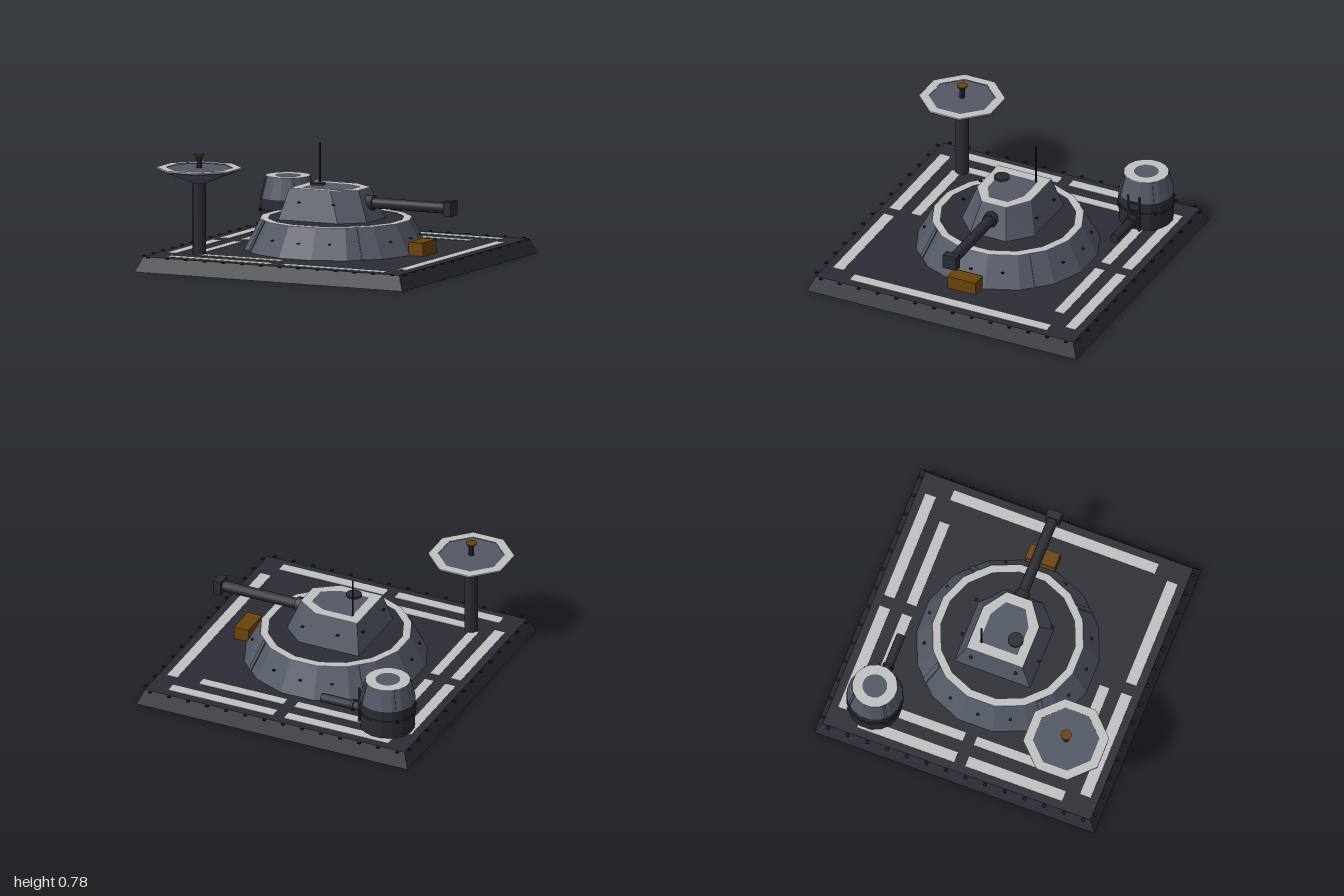
import * as THREE from 'three';

const mat = (name, hex) => {
  const m = new THREE.MeshStandardMaterial({ color: hex });
  m.name = name;
  return m;
};

export function createModel() {
  const deck = mat('dark deck', 0x2c2c35);
  deck.side = THREE.DoubleSide;
  const under = mat('underside', 0x29292b);
  const slate = mat('slate armour', 0x525865);
  const pale = mat('pale marking', 0xc0c0c0);
  const iron = mat('dark iron', 0x2a2c33);
  const amber = mat('amber', 0x6b4409);
  const black = mat('black fitting', 0x1b1b1f);
  const root = new THREE.Group();

  const flat = (g) => {
    const f = g.toNonIndexed();
    f.computeVertexNormals();
    return f;
  };
  const add = (name, geo, material, x = 0, y = 0, z = 0, parent = root) => {
    const m = new THREE.Mesh(geo, material);
    m.name = name;
    m.position.set(x, y, z);
    parent.add(m);
    return m;
  };
  const box = (name, m, w, h, d, x, y, z, p) => add(name, new THREE.BoxGeometry(w, h, d), m, x, y, z, p);
  // Faceted frustum from y0 to y1, with flat faces towards the axes
  const drum = (name, m, rTop, rBottom, y0, y1, n, x, z, p, open = false) => {
    const g = new THREE.CylinderGeometry(rTop, rBottom, y1 - y0, n, 1, open).rotateY(Math.PI / n);
    return add(name, flat(g), m, x, (y0 + y1) / 2, z, p);
  };
  // Cylinder lying along x
  const pipe = (name, m, r, x0, x1, y, z, n, p) =>
    add(name, new THREE.CylinderGeometry(r, r, x1 - x0, n).rotateZ(-Math.PI / 2), m, (x0 + x1) / 2, y, z, p);
  const ngon = (r, n) => Array.from({ length: n }, (_, i) => {
    const a = ((i + 0.5) / n) * Math.PI * 2;
    return [r * Math.cos(a), r * Math.sin(a)];
  });
  // Thin flat plate from an outline, with an optional hole
  const plate = (name, m, outer, inner, x, y, z, p) => {
    const v = (pts) => pts.map(([a, b]) => new THREE.Vector2(a, -b));
    const s = new THREE.Shape(v(outer));
    if (inner) s.holes.push(new THREE.Path(v(inner)));
    const g = new THREE.ExtrudeGeometry(s, { depth: 0.006, bevelEnabled: false });
    return add(name, g.rotateX(-Math.PI / 2), m, x, y, z, p);
  };
  // Straight loft between two convex outlines, closed at both ends
  const loft = (low, y0, high, y1) => {
    const pos = [], n = low.length;
    const P = (q, y) => [q[0], y, q[1]];
    for (let i = 0; i < n; i++) {
      const j = (i + 1) % n;
      const a = P(low[i], y0), b = P(low[j], y0), c = P(high[j], y1), d = P(high[i], y1);
      pos.push(...a, ...d, ...c, ...a, ...c, ...b);
      if (i > 0 && i < n - 1) {
        pos.push(...P(high[0], y1), ...c, ...d);
        pos.push(...P(low[0], y0), ...a, ...b);
      }
    }
    const g = new THREE.BufferGeometry();
    g.setAttribute('position', new THREE.Float32BufferAttribute(pos, 3));
    g.computeVertexNormals();
    return g;
  };

  // Base: sloped skirt open below, deck sheet, dark underside, edge studs
  drum('baseSkirt', deck, 0.955 * Math.SQRT2, Math.SQRT2, 0, 0.1, 4, 0, 0, root, true);
  add('deckSheet', new THREE.PlaneGeometry(1.91, 1.91).rotateX(-Math.PI / 2), deck, 0, 0.1, 0);
  add('deckUnderside', new THREE.PlaneGeometry(1.91, 1.91).rotateX(Math.PI / 2), under, 0, 0.098, 0);
  for (let i = 0; i < 14; i++) {
    const t = -0.91 + i * 0.14;
    for (const s of [-1, 1]) {
      box('edgeStud', black, 0.02, 0.008, 0.02, t, 0.1, s * 0.973);
      box('edgeStud', black, 0.02, 0.008, 0.02, s * 0.973, 0.1, t);
    }
  }

  // Painted deck stripes: x0, x1, z0, z1
  const stripe = (x0, x1, z0, z1) =>
    box('deckStripe', pale, x1 - x0, 0.003, z1 - z0, (x0 + x1) / 2, 0.102, (z0 + z1) / 2);
  for (const [a, b] of [[-0.81, -0.04], [0.04, 0.81]]) {
    stripe(a, b, -0.9, -0.825);
    stripe(a, b, 0.825, 0.9);
  }
  stripe(-0.66, -0.04, -0.74, -0.67);
  stripe(0.04, 0.66, -0.74, -0.67);
  stripe(-0.66, -0.04, 0.67, 0.74);
  stripe(0.825, 0.9, -0.73, 0.73);
  for (const [a, b] of [[-0.73, -0.04], [0.04, 0.73]]) stripe(-0.9, -0.825, a, b);
  for (const [a, b] of [[-0.66, -0.04], [0.04, 0.66]]) stripe(-0.74, -0.675, a, b);

  // Sloped mound with rim ring, ribs and studs
  drum('mound', slate, 0.51, 0.617, 0.1, 0.302, 16, 0, 0);
  plate('moundTop', deck, ngon(0.458, 16), null, 0, 0.298, 0);
  plate('moundRim', pale, ngon(0.51, 16), ngon(0.458, 16), 0, 0.299, 0);
  for (let i = 0; i < 16; i++) {
    const arm = new THREE.Group();
    arm.name = 'moundFitting';
    arm.rotation.y = (i * Math.PI) / 8;
    root.add(arm);
    if (i % 4 === 2) box('moundRib', slate, 0.014, 0.222, 0.036, 0.553, 0.201, 0, arm).rotation.z = 0.476;
    else box('moundStud', black, 0.018, 0.008, 0.018, 0.558, 0.2, 0, arm);
  }

  // Turret
  const plan = (back, shoulder, front, half, nose) => [
    [back, -half], [shoulder, -half], [front, -nose], [front, nose], [shoulder, half], [back, half],
  ];
  const turret = new THREE.Group();
  turret.name = 'turret';
  root.add(turret);
  const top = plan(-0.25, 0.06, 0.215, 0.2, 0.09);
  add('turretBody', loft(plan(-0.295, 0.15, 0.3, 0.27, 0.135), 0.3, top, 0.508), slate, 0, 0, 0, turret);
  plate('turretTopBorder', pale, top, plan(-0.18, 0.03, 0.145, 0.135, 0.07), 0, 0.506, 0, turret);
  drum('hatch', iron, 0.053, 0.053, 0.53, 0.545, 12, -0.09, 0.09, turret);
  drum('antenna', black, 0.006, 0.006, 0.508, 0.78, 6, -0.18, -0.12, turret);
  for (const s of [-1, 1]) {
    for (const x of [-0.14, 0.12]) box('turretStud', black, 0.02, 0.008, 0.02, x, 0.43, s * 0.272, turret);
    box('turretStud', black, 0.02, 0.008, 0.02, -0.275, 0.43, s * 0.16, turret);
  }

  // Main gun
  pipe('gunCollar', iron, 0.052, 0.22, 0.285, 0.42, 0, 8, turret);
  pipe('gunBarrel', iron, 0.037, 0.2, 0.84, 0.42, 0, 12, turret);
  box('gunMuzzle', iron, 0.055, 0.1, 0.1, 0.853, 0.42, 0, turret);

  // Supply crate
  box('crate', amber, 0.106, 0.09, 0.21, 0.648, 0.145, 0);

  // Dish on a mast
  const dish = new THREE.Group();
  dish.name = 'dishTower';
  dish.position.set(-0.678, 0, 0.675);
  root.add(dish);
  drum('mast', iron, 0.046, 0.046, 0.1, 0.59, 12, 0, 0, dish);
  drum('dishBowl', slate, 0.287, 0.05, 0.58, 0.672, 8, 0, 0, dish);
  plate('dishRim', pale, ngon(0.287, 8), ngon(0.222, 8), 0, 0.678, 0, dish);
  plate('dishPanel', slate, ngon(0.222, 8), null, 0, 0.675, 0, dish);
  drum('dishEdge', slate, 0.287, 0.287, 0.672, 0.678, 8, 0, 0, dish, true);
  drum('feedPost', iron, 0.019, 0.019, 0.68, 0.75, 10, 0, 0, dish);
  drum('feedHorn', iron, 0.035, 0.019, 0.745, 0.769, 12, 0, 0, dish);
  drum('feedCap', amber, 0.037, 0.037, 0.768, 0.774, 12, 0, 0, dish);

  // Round guard post
  const post = new THREE.Group();
  post.name = 'guardPost';
  post.position.set(-0.703, 0, -0.68);
  root.add(post);
  drum('postBase', iron, 0.188, 0.183, 0.1, 0.308, 16, 0, 0, post);
  drum('postBand', iron, 0.193, 0.193, 0.222, 0.236, 16, 0, 0, post);
  drum('postUpper', slate, 0.152, 0.188, 0.308, 0.452, 16, 0, 0, post);
  plate('postRim', pale, ngon(0.152, 16), ngon(0.083, 16), 0, 0.449, 0, post);
  for (let i = 0; i < 4; i++) {
    const arm = new THREE.Group();
    arm.name = 'postFitting';
    arm.rotation.y = Math.PI / 4 + (i * Math.PI) / 2;
    post.add(arm);
    box('postRib', slate, 0.01, 0.148, 0.018, 0.168, 0.379, 0, arm).rotation.z = 0.24;
    box('postStud', black, 0.02, 0.012, 0.018, 0.192, 0.229, 0, arm);
  }

  // Guard post gun and ladder frame
  pipe('postGunMount', iron, 0.042, 0.16, 0.2, 0.19, 0, 12, post);
  pipe('postGunBarrel', iron, 0.031, 0.16, 0.485, 0.19, 0, 12, post);
  pipe('postGunRing', iron, 0.041, 0.245, 0.262, 0.19, 0, 12, post);
  for (const s of [-1, 1]) box('ladderRail', iron, 0.012, 0.26, 0.01, 0.19, 0.23, s * 0.042, post);
  for (const y of [0.13, 0.25, 0.31]) box('ladderRung', iron, 0.012, 0.008, 0.084, 0.19, y, 0, post);

  return root;
}
